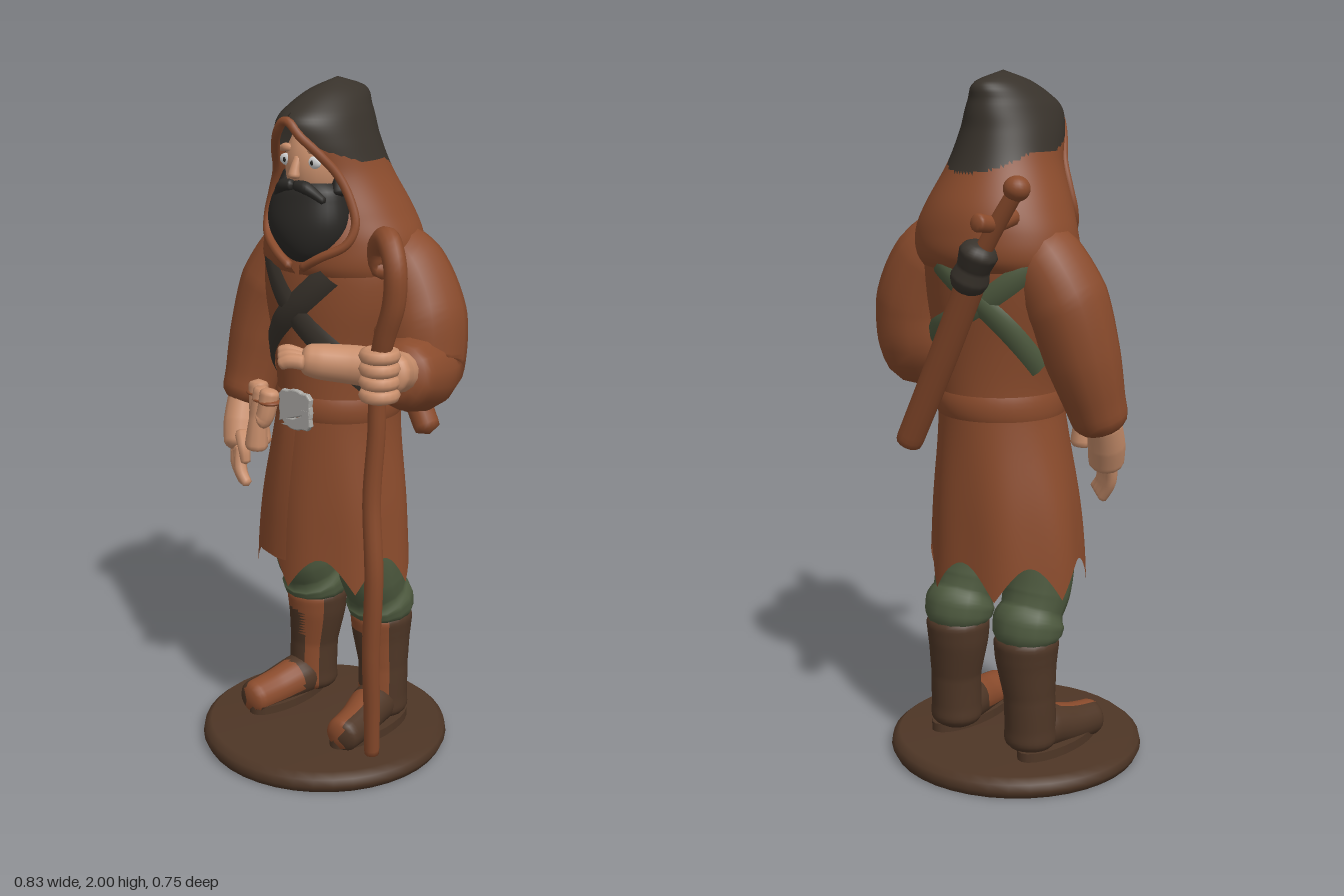
import * as THREE from 'three';
import { mergeVertices } from 'three/addons/utils/BufferGeometryUtils.js';

const mat = (name, color) => new THREE.MeshStandardMaterial({ name, color, side: THREE.DoubleSide });
const V = (x, y, z) => new THREE.Vector3(x, y, z);

// Smooth interpolation of rows [y, centre x, centre z, radius x, radius z, gap] at a height
function at(rows, y) {
  let i = 0;
  while (i < rows.length - 2 && y > rows[i + 1][0]) i++;
  const p = rows[i], q = rows[i + 1], h = q[0] - p[0];
  const t = Math.min(1, Math.max(0, (y - p[0]) / h)), t2 = t * t, t3 = t2 * t;
  const slope = (k, c) => {
    const a = rows[Math.max(0, k - 1)], b = rows[Math.min(rows.length - 1, k + 1)];
    return (b[c] - a[c]) / (b[0] - a[0]);
  };
  return p.map((_, c) => (2 * t3 - 3 * t2 + 1) * p[c] + (t3 - 2 * t2 + t) * h * slope(i, c)
    + (3 * t2 - 2 * t3) * q[c] + (t3 - t2) * h * slope(i + 1, c));
}

// Point on a shell; angle 0 is the front, increasing towards +x
function onShell(rows, a, y, off = 0, fold = 0) {
  const [, cx, cz, rx, rz] = at(rows, y);
  const k = 1 + fold * Math.sin(a * 7 + 1) * Math.min(1, Math.max(0, (1.05 - y) * 3));
  return V(cx + (Math.max(0, rx) * k + off) * Math.sin(a), y, cz + (Math.max(0, rz) * k + off) * Math.cos(a));
}

// Grid of points to a smooth surface
function grid(nu, nv, f) {
  const pos = [], idx = [];
  for (let j = 0; j <= nv; j++) for (let i = 0; i <= nu; i++) {
    pos.push(...f(i / nu, j / nv).toArray());
    if (i < nu && j < nv) {
      const k = j * (nu + 1) + i, m = k + nu + 1;
      idx.push(k, k + 1, m, k + 1, m + 1, m);
    }
  }
  let g = new THREE.BufferGeometry();
  g.setAttribute('position', new THREE.Float32BufferAttribute(pos, 3));
  g.setIndex(idx);
  g = mergeVertices(g, 1e-5);
  g.computeVertexNormals();
  return g;
}

function shell(rows, y0, y1, nu, nv, hem = () => 0, fold = 0) {
  return grid(nu, nv, (u, v) => {
    const a = u * Math.PI * 2, b = y0 + hem(a), y = b + (y1 - b) * v;
    const gap = Math.max(0, at(rows, y)[5] || 0);
    return onShell(rows, gap + u * 2 * (Math.PI - gap), y, 0, fold);
  });
}

// Rounded tube through points [x, y, z, radius]
function limb(pts, seg = 36, n = 14) {
  const curve = new THREE.CatmullRomCurve3(pts.map(p => V(p[0], p[1], p[2])));
  const len = curve.getLength(), last = pts.length - 1;
  let g = new THREE.TubeGeometry(curve, seg, 1, n);
  const pos = g.attributes.position, p = V(0, 0, 0);
  for (let i = 0; i <= seg; i++) {
    const u = i / seg, t = curve.getUtoTmapping(u) * last, k = Math.min(last - 1, Math.floor(t));
    let r = pts[k][3] + (pts[k + 1][3] - pts[k][3]) * (t - k);
    const d = Math.min(u, 1 - u) * len / (r * 0.6);
    if (d < 1) r *= Math.sqrt(Math.max(0, 1 - (1 - d) ** 2));
    const c = curve.getPointAt(u);
    for (let j = 0; j <= n; j++) {
      const q = i * (n + 1) + j;
      p.fromBufferAttribute(pos, q).sub(c).multiplyScalar(r).add(c);
      pos.setXYZ(q, p.x, p.y, p.z);
    }
  }
  g.deleteAttribute('uv');
  g.deleteAttribute('normal');
  g = mergeVertices(g, 1e-5);
  g.computeVertexNormals();
  return g;
}

// Give the faces chosen by a rule the second of two materials
function twoTone(g, rule) {
  const ix = g.index.array, p = g.attributes.position, sets = [[], []];
  for (let i = 0; i < ix.length; i += 3) {
    const [a, b, c] = [0, 1, 2].map(k => V(0, 0, 0).fromBufferAttribute(p, ix[i + k]));
    const mid = a.clone().add(b).add(c).divideScalar(3);
    const nor = b.sub(a).cross(c.sub(a)).normalize();
    sets[rule(mid, nor) ? 1 : 0].push(ix[i], ix[i + 1], ix[i + 2]);
  }
  g.setIndex([...sets[0], ...sets[1]]);
  g.addGroup(0, sets[0].length, 0);
  g.addGroup(sets[0].length, sets[1].length, 1);
  return g;
}

const ROBE = [[0.5, -.045, -.05, .245, .205], [0.65, -.045, -.05, .237, .2], [0.8, -.04, -.05, .222, .195],
  [1.0, -.03, -.05, .188, .184], [1.1, -.025, -.052, .18, .18], [1.25, -.03, -.055, .2, .18], [1.4, -.03, -.06, .235, .188],
  [1.52, -.03, -.07, .235, .185], [1.62, -.04, -.08, .18, .15], [1.7, -.04, -.08, .1, .1]];
const HOOD = [[1.45, -.03, -.065, .23, .175, 0], [1.5, -.03, -.072, .245, .205, .1], [1.57, -.028, -.075, .238, .205, .66],
  [1.64, -.032, -.068, .208, .198, .86], [1.75, -.037, -.045, .155, .17, .82], [1.84, -.04, -.018, .128, .168, .48],
  [1.89, -.04, -.012, .11, .168, .12], [1.92, -.04, -.022, .095, .152, 0], [1.97, -.04, -.06, .055, .1, 0], [2.0, -.04, -.06, 0, 0, 0]];
const BEARD = [[1.49, -.03, .08, .02, .02], [1.53, -.035, .07, .08, .065], [1.6, -.045, .06, .125, .09],
  [1.68, -.045, .052, .118, .085], [1.72, -.035, .05, .09, .072], [1.745, -.035, .05, .04, .04]];

export function createModel() {
  const robe = mat('russetCloth', 0x8a4b2c), dark = mat('darkCloth', 0x38322b), green = mat('greenCloth', 0x4e5a3f);
  const brown = mat('brownLeather', 0x4e3626), skin = mat('skin', 0xc98f6c), hair = mat('blackHair', 0x2a2825);
  const silver = mat('silver', 0xa8a6a2), white = mat('eyeWhite', 0xd8d8d8);
  const root = new THREE.Group();
  const add = (name, g, m, x = 0, y = 0, z = 0) => {
    const mesh = new THREE.Mesh(g, m);
    mesh.name = name;
    mesh.position.set(x, y, z);
    root.add(mesh);
    return mesh;
  };
  const ball = (name, m, x, y, z, rx, ry, rz) => add(name, new THREE.SphereGeometry(1, 20, 14), m, x, y, z).scale.set(rx, ry, rz);

  // Round stand
  add('stand', new THREE.LatheGeometry([[0, 0], [.365, 0], [.375, .02], [.37, .042], [.35, .058], [0, .06]]
    .map(p => new THREE.Vector2(...p)), 40), brown, -.04);

  // Robe with ragged hem
  add('robe', shell(ROBE, .54, 1.7, 84, 40, a => .1 * Math.abs(Math.sin(3.5 * a)), .02), robe);

  // Bands that follow the robe: points are [angle, height]
  const band = (name, m, pts, width, off) => {
    const path = new THREE.CatmullRomCurve3(pts.map(p => V(p[0] * .2, p[1], 0)));
    add(name, grid(40, 4, (u, v) => {
      const c = path.getPoint(u), t = path.getTangent(u), w = (v - .5) * width;
      return onShell(ROBE, (c.x - t.y * w) / .2, c.y + t.x * w, off * (v === 0 || v === 1 ? .2 : 1), .02);
    }), m);
  };
  band('chestStrap', dark, [[-.72, 1.53], [0, 1.355], [1.15, 1.17]], .07, .01);
  band('chestStrap', dark, [[.42, 1.48], [0, 1.385], [-1.15, 1.17]], .07, .013);
  band('backStrap', green, [[1.6, 1.22], [Math.PI, 1.34], [4.2, 1.5]], .06, .01);
  band('backStrap', green, [[2.9, 1.48], [3.6, 1.36], [4.4, 1.2]], .06, .012);
  band('belt', robe, [[0, 1.09], [2, 1.085], [4.3, 1.085], [Math.PI * 2, 1.09]], .07, .008);
  band('frontFlap', robe, [[-.36, .62], [-.36, .8], [-.33, 1.05]], .13, .012);

  // Buckle
  const frame = new THREE.Shape().absarc(0, 0, .056, 0, Math.PI * 2);
  frame.setFromPoints([[-.045, -.05], [.045, -.05], [.056, -.038], [.05, 0], [.056, .038], [.045, .05], [-.045, .05],
    [-.056, .038], [-.05, 0], [-.056, -.038]].map(p => new THREE.Vector2(...p)));
  frame.holes.push(new THREE.Path([[-.03, -.03], [-.03, .03], [.03, .03], [.03, -.03]].map(p => new THREE.Vector2(...p))));
  add('buckle', new THREE.ExtrudeGeometry(frame, { depth: .01, bevelSize: .004, bevelThickness: .004, bevelSegments: 2 }),
    silver, -.025, 1.085, .133);
  add('bucklePin', new THREE.BoxGeometry(.03, .012, .01), silver, .015, 1.085, .143);

  // Hood, its rim and the head within
  const hoodEdge = p => 1.785 + (p.z < -.1 ? (p.z + .1) * .45 : Math.max(0, p.z) * .35);
  add('hood', twoTone(shell(HOOD, 1.45, 2.0, 72, 56), p => p.y > hoodEdge(p)), [robe, dark]);
  const rim = s => [1.49, 1.53, 1.57, 1.62, 1.68, 1.75, 1.81, 1.86, 1.895].map(y => {
    const p = onShell(HOOD, s * Math.max(0, at(HOOD, y)[5]), y);
    return [p.x, p.y, p.z, .013];
  });
  add('hoodRim', limb([...rim(-1), ...rim(1).reverse()], 90, 8), robe);
  ball('head', skin, -.035, 1.77, .012, .097, .13, .11);
  add('nose', limb([[-.035, 1.8, .108, .011], [-.035, 1.765, .124, .014], [-.035, 1.738, .13, .019]], 14, 10), skin);
  add('beard', shell(BEARD, 1.49, 1.745, 36, 20), hair);
  for (const s of [-1, 1]) {
    const x = -.035 + s * .05;
    add('moustache', limb([[-.035, 1.722, .128, .014], [-.035 + s * .04, 1.718, .126, .018], [-.035 + s * .09, 1.68, .1, .01]], 16, 10), hair);
    ball('eye', white, x, 1.785, .102, .024, .017, .01);
    ball('pupil', hair, x, 1.785, .11, .006, .007, .004);
    add('brow', limb([[x - .028, 1.812, .094, .009], [x, 1.818, .102, .012], [x + .028, 1.812, .094, .009]], 10, 8), skin);
    add('sideburn', limb([[-.035 + s * .09, 1.75, .04, .015], [-.035 + s * .1, 1.69, .05, .03]], 10, 8), hair);
  }

  // Left sleeve, hand gripping the staff and outstretched hand
  add('leftSleeve', limb([[.08, 1.56, -.1, .08], [.165, 1.48, -.115, .115], [.222, 1.35, -.115, .13], [.235, 1.22, -.09, .13],
    [.275, 1.22, .01, .105], [.295, 1.24, .1, .082]]), robe);
  add('leftForearm', limb([[.29, 1.24, .06, .06], [.318, 1.255, .12, .055], [.335, 1.27, .18, .06]]), skin);
  add('reachingHand', limb([[.3, 1.25, .1, .055], [.2, 1.258, .14, .055], [.12, 1.267, .2, .05], [.075, 1.275, .232, .04]]), skin);
  for (let i = 0; i < 3; i++) {
    const x = -.02 + i * .02, z = .215 + i * .02;
    add('reachingFinger', limb([[x + .09, 1.27, z - .01, .022], [x + .05, 1.285 - i * .006, z + .015, .021],
      [x + .025, 1.28 - i * .01, z + .03, .016]], 16, 10), skin);
  }
  for (let i = 0; i < 4; i++) {
    const f = add('grippingFinger', new THREE.TorusGeometry(.037, .02, 8, 18), skin, .322, 1.21 + i * .036, .19);
    f.rotation.x = Math.PI / 2;
  }

  // Right sleeve and hanging hand
  add('rightSleeve', limb([[-.11, 1.57, -.09, .08], [-.2, 1.49, -.08, .112], [-.262, 1.38, -.06, .12], [-.303, 1.22, -.03, .105],
    [-.322, 1.1, 0, .086], [-.332, 1.01, .03, .076]]), robe);
  add('rightHand', limb([[-.335, 1.06, .02, .05], [-.318, .97, .06, .054], [-.295, .89, .09, .05]]), skin);
  for (let i = 0; i < 4; i++) {
    const x = -.325 + i * .019, z = .07 + i * .014;
    add('finger', limb([[x, .92, z, .02], [x + .015, .85, z + .02, .019], [x + .05, .79 + .006 * i, z + .025, .014]], 16, 8), skin);
  }
  add('thumb', limb([[-.28, .96, .1, .022], [-.245, .92, .125, .019], [-.235, .87, .13, .014]], 16, 8), skin);

  // Small pouches on the belt
  for (const [x, z, lean] of [[-.215, .09, .02], [-.155, .13, -.02], [-.12, .14, -.03]]) {
    const low = x < -.13 ? .93 : 1.03;
    add('pouch', limb([[x, 1.13, z, .03], [x + lean / 2, 1.04, z + .015, .026], [x + lean, low, z + .018, .036]], 24, 10), skin);
    ball('pouchTie', robe, x, 1.09, z + .005, .034, .01, .032);
  }

  // Legs and boots, mirrored
  for (const s of [-1, 1]) {
    const cx = -.045, x = cx + s * .13;
    const front = (p, n) => n.z > .5 && (p.y < .17 || p.y > .36 || (p.x - x) > .01);
    add('trouserLeg', limb([[x - s * .02, .78, -.05, .1], [x, .62, -.06, .1], [x, .54, -.075, .098], [x, .49, -.095, .09],
      [x, .46, -.108, .104], [x, .42, -.117, .1], [x, .37, -.118, .08]], 48), green);
    add('bootShaft', twoTone(limb([[x, .45, -.12, .085], [x, .41, -.12, .096], [x, .35, -.12, .09], [x + s * .01, .24, -.118, .075],
      [x + s * .012, .14, -.115, .075], [x + s * .012, .065, -.115, .08]], 40, 20), front), [brown, robe]);
    add('bootFoot', twoTone(limb([[x + s * .01, .12, -.16, .055], [x + s * .02, .125, -.06, .066], [x + s * .04, .108, .04, .058],
      [x + s * .055, .1, .15, .052]], 30, 20), (p, n) => p.z > -.02 && n.x * s < .3 && n.y > -.4), [brown, robe]);
    add('sole', new THREE.CylinderGeometry(1, 1, .03, 24), brown, x + s * .035, .07, -.02).scale.set(.068, 1, .165);
  }

  // Crooked staff
  add('staff', limb([[.24, .06, .11, .022], [.255, .22, .13, .024], [.275, .42, .16, .026], [.3, .68, .18, .027], [.29, .9, .18, .026],
    [.305, 1.1, .18, .025], [.317, 1.28, .19, .025], [.345, 1.37, .2, .029], [.38, 1.47, .205, .031], [.382, 1.57, .205, .031],
    [.335, 1.63, .18, .033], [.288, 1.595, .155, .032], [.288, 1.54, .15, .027], [.32, 1.535, .16, .018]], 110, 12), robe);
  add('staffBud', limb([[.345, 1.35, .2, .018], [.318, 1.385, .18, .02], [.312, 1.4, .175, .012]], 12, 8), robe);

  // Sword slung across the back
  add('sheath', limb([[-.13, 1.48, -.285, .041], [0, 1.23, -.272, .041], [.15, .95, -.26, .039]]), robe);
  add('sheathWrap', limb([[-.095, 1.42, -.288, .045], [-.115, 1.46, -.29, .054], [-.13, 1.49, -.292, .046], [-.15, 1.53, -.294, .054],
    [-.165, 1.56, -.294, .042]], 30), dark);
  add('swordGrip', limb([[-.14, 1.5, -.292, .024], [-.21, 1.61, -.29, .024], [-.27, 1.7, -.285, .022]]), robe);
  ball('pommel', robe, -.27, 1.705, -.283, .036, .034, .036);
  add('crossguard', limb([[-.195, 1.62, -.365, .026], [-.2, 1.61, -.29, .022], [-.195, 1.625, -.2, .026]]), robe);
  return root;
}
